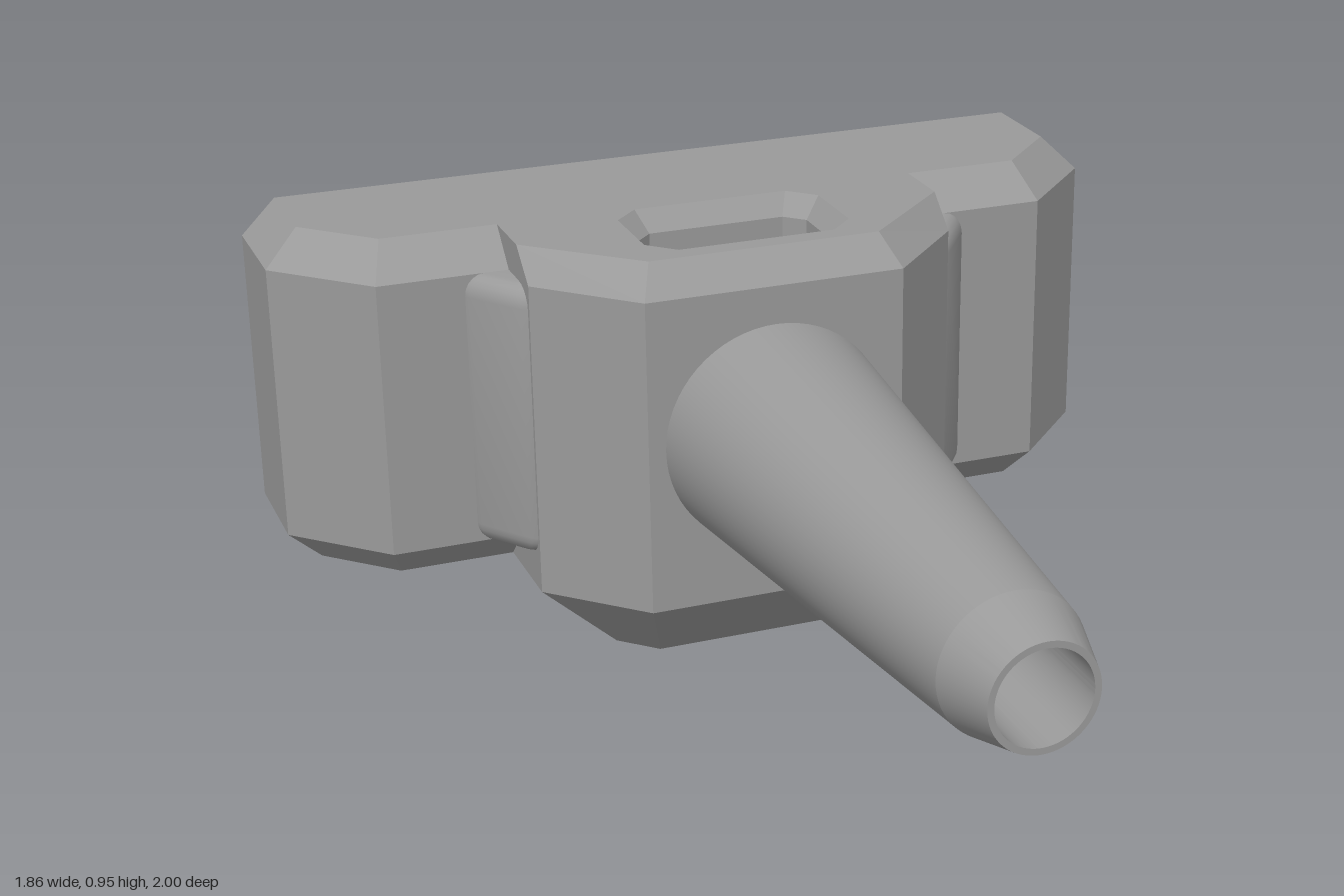
import * as THREE from 'three';
import { toCreasedNormals } from 'three/addons/utils/BufferGeometryUtils.js';

// Hollow housing: open surfaces, so both sides are drawn
const grey = new THREE.MeshStandardMaterial({ color: 0x9a9a9a, side: THREE.DoubleSide });
grey.name = 'plain grey';

function part(name, geometry, parent) {
  const mesh = new THREE.Mesh(geometry, grey);
  mesh.name = name;
  parent.add(mesh);
  return mesh;
}

// Flat-faced walls between plan outlines [x, z] stacked in y
function loft(sections, closed = true) {
  const pos = [];
  for (let k = 0; k + 1 < sections.length; k++) {
    const [y0, p] = sections[k], [y1, q] = sections[k + 1];
    const n = p.length;
    for (let i = 0; i < (closed ? n : n - 1); i++) {
      const j = (i + 1) % n;
      const a = [p[i][0], y0, p[i][1]], b = [p[j][0], y0, p[j][1]];
      const c = [q[j][0], y1, q[j][1]], d = [q[i][0], y1, q[i][1]];
      pos.push(...a, ...d, ...c, ...a, ...c, ...b);
    }
  }
  const g = new THREE.BufferGeometry();
  g.setAttribute('position', new THREE.Float32BufferAttribute(pos, 3));
  g.computeVertexNormals();
  return g;
}

// Horizontal panel with holes, facing up or down
function panel(outline, holes, y, up) {
  const s = up ? -1 : 1;
  const pts = (list) => list.map(([x, z]) => new THREE.Vector2(x, s * z));
  const shape = new THREE.Shape(pts(outline));
  holes.forEach((h) => shape.holes.push(new THREE.Path(pts(h))));
  return new THREE.ShapeGeometry(shape).rotateX(s * Math.PI / 2).translate(0, y, 0);
}

const rect = (x0, x1, z0, z1) => [[x0, z0], [x1, z0], [x1, z1], [x0, z1]];

// Right half of an outline, completed by its mirror image
const mirrored = (half) => [...half, ...half.slice().reverse().map(([x, z]) => [-x, z])];

// Rectangle with cut corners, ordered so that its walls face inward
function octagon(w, z0, z1, c) {
  return mirrored([[w - c, z0], [w, z0 + c], [w, z1 - c], [w - c, z1]]).reverse();
}

function addCentre(root) {
  const bottom = mirrored([[0.28, -1], [0.28, -0.51], [0.205, -0.435]]);
  const wide = mirrored([[0.465, -1], [0.465, -0.435], [0.28, -0.25]]);
  const top = mirrored([[0.465, -1], [0.465, -0.51], [0.25, -0.31]]);
  part('centreHousing', loft([[0.02, bottom], [0.205, wide], [0.89, wide], [0.955, top]]), root);

  // Well in the top, with a sloping rim
  const rim = octagon(0.225, -0.635, -0.355, 0.055);
  const well = octagon(0.19, -0.6, -0.39, 0.04);
  const wellFoot = octagon(0.19, -0.6, -0.46, 0.03);
  part('topPanel', panel(top, [rim], 0.955, true), root);
  part('topWell', loft([[0.02, wellFoot], [0.1, well], [0.91, well], [0.955, rim]]), root);

  // Slots in the floor, cut to a bowed outline
  const slots = [];
  for (let i = -5; i <= 5; i++) {
    const x = i * 0.026;
    slots.push(rect(x - 0.008, x + 0.008, -0.66, -0.575 - 3.2 * x * x));
  }
  part('bottomPanel', panel(bottom, slots, 0.02, false), root);

  const button = part('bottomButton', new THREE.CylinderGeometry(0.05, 0.038, 0.022, 16), root);
  button.position.set(0, 0.011, -0.885);

  // Thin socket frame on the sloping side
  const frame = new THREE.Group();
  frame.name = 'sideSocket';
  frame.position.set(0.372, 0.112, -0.965);
  frame.rotation.z = Math.PI / 4;
  for (const s of [-1, 1]) {
    part('socketRail', new THREE.BoxGeometry(0.21, 0.008, 0.008), frame).position.z = s * 0.018;
    part('socketEnd', new THREE.BoxGeometry(0.008, 0.008, 0.044), frame).position.x = s * 0.105;
  }
  root.add(frame);
}

function addSide(root, sign) {
  const side = new THREE.Group();
  side.name = sign > 0 ? 'leftWing' : 'rightWing';
  side.scale.x = sign;
  root.add(side);

  // Wing shell
  const wide = [[0.465, -1], [0.93, -1], [0.93, -0.76], [0.745, -0.575], [0.465, -0.575]];
  const narrow = [[0.465, -1], [0.855, -1], [0.855, -0.79], [0.715, -0.65], [0.465, -0.65]];
  part('wingShell', loft([[0.205, narrow], [0.28, wide], [0.88, wide], [0.955, narrow]], false), side);
  part('wingTop', panel(narrow, [], 0.955, true), side);

  // Open underside with a row of slots along the back
  const holes = [[[0.49, -0.9], [0.81, -0.9], [0.81, -0.79], [0.695, -0.675], [0.49, -0.675]]];
  for (let i = 0; i < 11; i++) {
    const x = 0.5 + i * 0.029;
    holes.push(rect(x, x + 0.016, -0.98, -0.92));
  }
  part('wingUnderside', panel(narrow, holes, 0.205, false), side);

  // Round-ended bar in the corner between wing and centre
  const outline = [[0.56, -0.575], [0.555, -0.56], [0.478, -0.455], [0.465, -0.445]];
  const scaled = (s) => outline.map(([x, z]) => [0.465 + (x - 0.465) * s, -0.575 + (z + 0.575) * s]);
  const lower = [[0.28, scaled(0.01)]], upper = [[0.88, scaled(0.01)]];
  for (let i = 0; i <= 5; i++) {
    const a = (i / 5) * Math.PI / 2, h = 0.045 * (1 - Math.cos(a)), s = scaled(0.55 + 0.45 * Math.sin(a));
    lower.push([0.28 + h, s]);
    upper.push([0.88 - h, s]);
  }
  part('cornerBar', toCreasedNormals(loft([...lower, ...upper.reverse()], false), 0.6), side);
}

function addNozzle(root) {
  // Tapered tube with a bevelled tip and a straight bore
  const profile = [[0.243, -0.25], [0.145, 0.87], [0.108, 1], [0.095, 1], [0.095, -0.249]]
    .map(([r, z]) => new THREE.Vector2(r, z));
  const g = new THREE.LatheGeometry(profile, 64).rotateX(Math.PI / 2);
  part('nozzle', toCreasedNormals(g, 0.15), root).position.y = 0.565;
}

export function createModel() {
  const root = new THREE.Group();
  root.name = 'housingWithNozzle';
  addCentre(root);
  addSide(root, 1);
  addSide(root, -1);
  addNozzle(root);
  return root;
}
